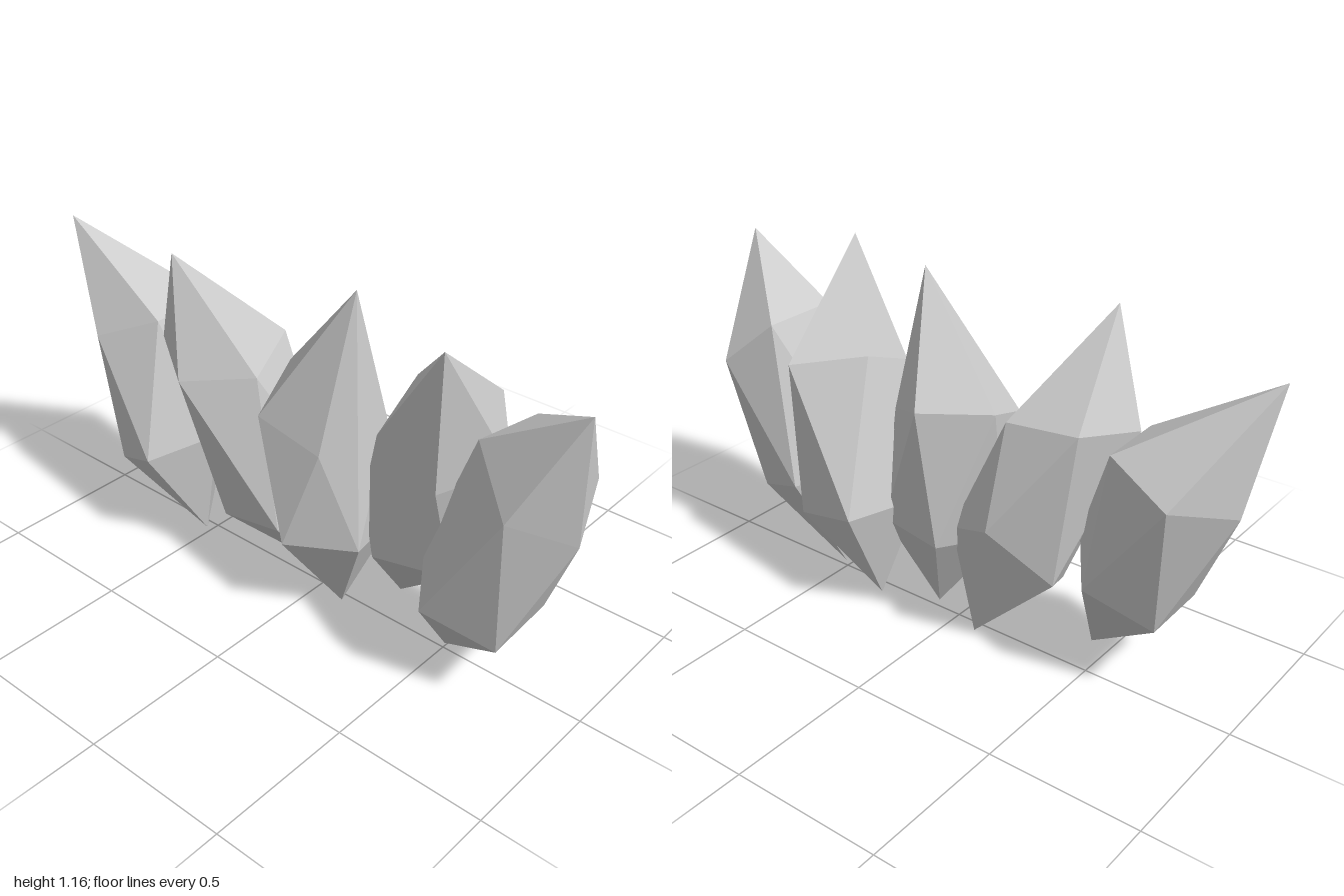
import * as THREE from 'three';
import { ConvexGeometry } from 'three/addons/geometries/ConvexGeometry.js';

const V = (a) => new THREE.Vector3(...a);
const RADIUS = 0.207;

// Five-sided ring about a tilted axis, starting at a given corner
function ring({ centre, axis, corner }) {
  const c = V(centre), n = V(axis).normalize(), first = V(corner);
  const spoke = first.clone().sub(c).projectOnPlane(n).setLength(RADIUS);
  const points = [first];
  for (let i = 1; i < 5; i++) {
    points.push(spoke.clone().applyAxisAngle(n, (i * Math.PI * 2) / 5).add(c));
  }
  return points;
}

// Each crystal is a stretched, twenty-faced gem: base point, two staggered rings, tip
const crystals = [
  {
    name: 'frontCrystal', base: [0, 0.02, 0.505], tip: [-0.143, 1.1, 1],
    lower: { centre: [-0.038, 0.318, 0.632], axis: [-0.09, 0.93, 0.36], corner: [-0.16, 0.246, 0.79] },
    upper: { centre: [-0.047, 0.787, 0.812], axis: [-0.03, 0.757, 0.654], corner: [0.143, 0.732, 0.885] },
  },
  {
    name: 'frontMiddleCrystal', base: [0.1, 0.042, 0.25], tip: [-0.193, 1.152, 0.582],
    lower: { centre: [0.07, 0.35, 0.34], axis: [-0.1, 0.95, 0.28], corner: [0.265, 0.393, 0.235] },
    upper: { centre: [0.003, 0.776, 0.471], axis: [-0.31, 0.88, 0.4], corner: [0.215, 0.84, 0.51] },
  },
  {
    name: 'middleCrystal', base: [-0.03, 0, 0.107], tip: [-0.07, 1.16, 0.185],
    lower: { centre: [-0.045, 0.325, 0.08], axis: [-0.03, 1, -0.05], corner: [0.14, 0.33, -0.015] },
    upper: { centre: [-0.036, 0.727, 0.037], axis: [-0.3, 0.93, 0.21], corner: [0.16, 0.788, 0.045] },
  },
  {
    name: 'backMiddleCrystal', base: [0.058, 0.016, -0.107], tip: [-0.205, 1.14, -0.424],
    lower: { centre: [0.01, 0.31, -0.21], axis: [-0.5, 0.85, -0.15], corner: [0.183, 0.49, -0.24] },
    upper: { centre: [-0.069, 0.797, -0.364], axis: [-0.21, 1, 0.07], corner: [0.077, 0.836, -0.483] },
  },
  {
    name: 'backCrystal', base: [-0.083, 0.053, -0.466], tip: [-0.114, 1.08, -1],
    lower: { centre: [-0.07, 0.352, -0.6], axis: [0, 0.9, -0.43], corner: [0.124, 0.38, -0.547] },
    upper: { centre: [-0.016, 0.769, -0.756], axis: [-0.05, 0.93, -0.38], corner: [0.167, 0.75, -0.822] },
  },
];

export function createModel() {
  const group = new THREE.Group();
  group.name = 'crystalRow';
  const material = new THREE.MeshStandardMaterial({ color: 0xcccccc, flatShading: true });
  for (const { name, base, lower, upper, tip } of crystals) {
    const geometry = new ConvexGeometry([V(base), ...ring(lower), ...ring(upper), V(tip)]);
    const mesh = new THREE.Mesh(geometry, material);
    mesh.name = name;
    group.add(mesh);
  }
  return group;
}
